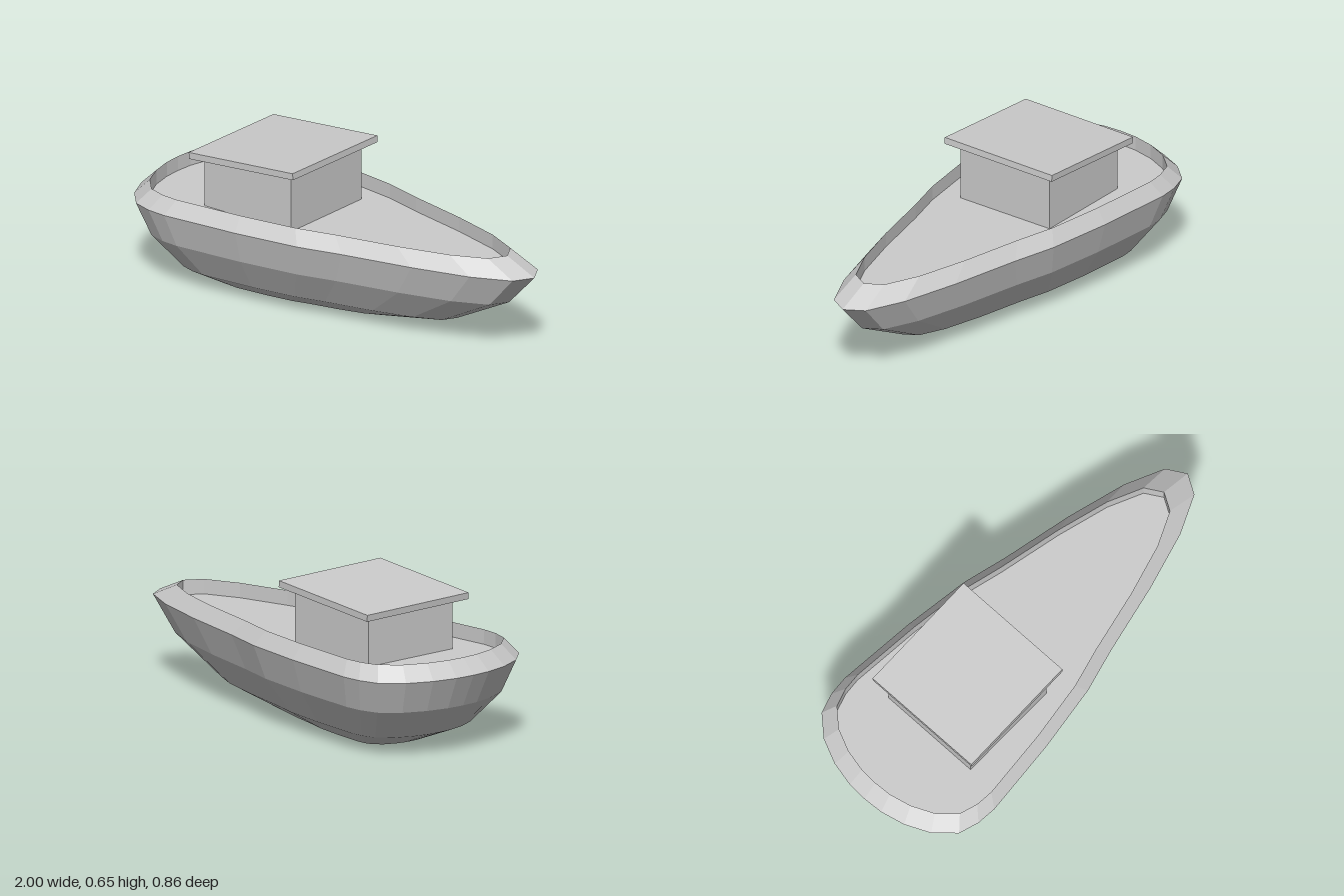
import * as THREE from 'three';

const material = new THREE.MeshStandardMaterial({ color: 0xcccccc, flatShading: true });

// Half outline of the widest level, bow to stern, as [x, z]
const half = [
  [1, 0], [0.95, 0.085], [0.78, 0.163], [0.52, 0.235], [0.2, 0.305], [0, 0.357], [-0.3, 0.4],
  [-0.66, 0.432], [-0.75, 0.425], [-0.84, 0.397], [-0.92, 0.31], [-0.97, 0.2], [-0.995, 0.09], [-1, 0],
];
const outline = [...half, ...half.slice(1, -1).reverse().map(([x, z]) => [x, -z])];

// Skin between levels [y, scale, x offset]; a scale of 0 closes the skin to a point
function loft(name, levels) {
  const pos = [];
  const point = ([y, s, dx], i) => {
    const [x, z] = outline[i % outline.length];
    return [x * s + dx, y, z * s];
  };
  for (let k = 0; k < levels.length - 1; k++) {
    const [lo, hi] = [levels[k], levels[k + 1]];
    for (let i = 0; i < outline.length; i++) {
      const a = point(lo, i), b = point(lo, i + 1), c = point(hi, i), d = point(hi, i + 1);
      if (lo[1] > 0) pos.push(...a, ...c, ...b);
      if (hi[1] > 0) pos.push(...b, ...c, ...d);
    }
  }
  const geo = new THREE.BufferGeometry();
  geo.setAttribute('position', new THREE.Float32BufferAttribute(pos, 3));
  geo.computeVertexNormals();
  const mesh = new THREE.Mesh(geo, material);
  mesh.name = name;
  return mesh;
}

export function createModel() {
  const boat = new THREE.Group();
  boat.name = 'boat';

  // Hull with flat bottom, sloping rail with inner wall, and deck
  const widest = [0.36, 1, 0];
  const railTop = [0.425, 0.893, -0.04];
  const deckEdge = [0.36, 0.893, -0.04];
  boat.add(
    loft('hull', [[0, 0, -0.195], [0, 0.412, -0.195], [0.073, 0.686, -0.105], [0.216, 0.898, -0.035], widest]),
    loft('rail', [widest, railTop, deckEdge]),
    loft('deck', [deckEdge, [0.36, 0, -0.04]]),
  );

  // Cabin, its top sloped to meet the roof
  const slope = 0.08;
  const cabinGeo = new THREE.BoxGeometry(0.47, 0.2, 0.474);
  cabinGeo.translate(-0.363, 0.46, 0);
  const p = cabinGeo.attributes.position;
  for (let i = 0; i < p.count; i++) {
    if (p.getY(i) > 0.5) p.setY(i, 0.598 + (p.getX(i) + 0.363) * slope);
  }
  cabinGeo.computeVertexNormals();
  const cabin = new THREE.Mesh(cabinGeo, material);
  cabin.name = 'cabin';

  // Overhanging tilted roof
  const roof = new THREE.Mesh(new THREE.BoxGeometry(0.565, 0.029, 0.57), material);
  roof.name = 'roof';
  roof.position.set(-0.362, 0.611, 0);
  roof.rotation.set(-0.008, 0, slope);

  boat.add(cabin, roof);
  return boat;
}
